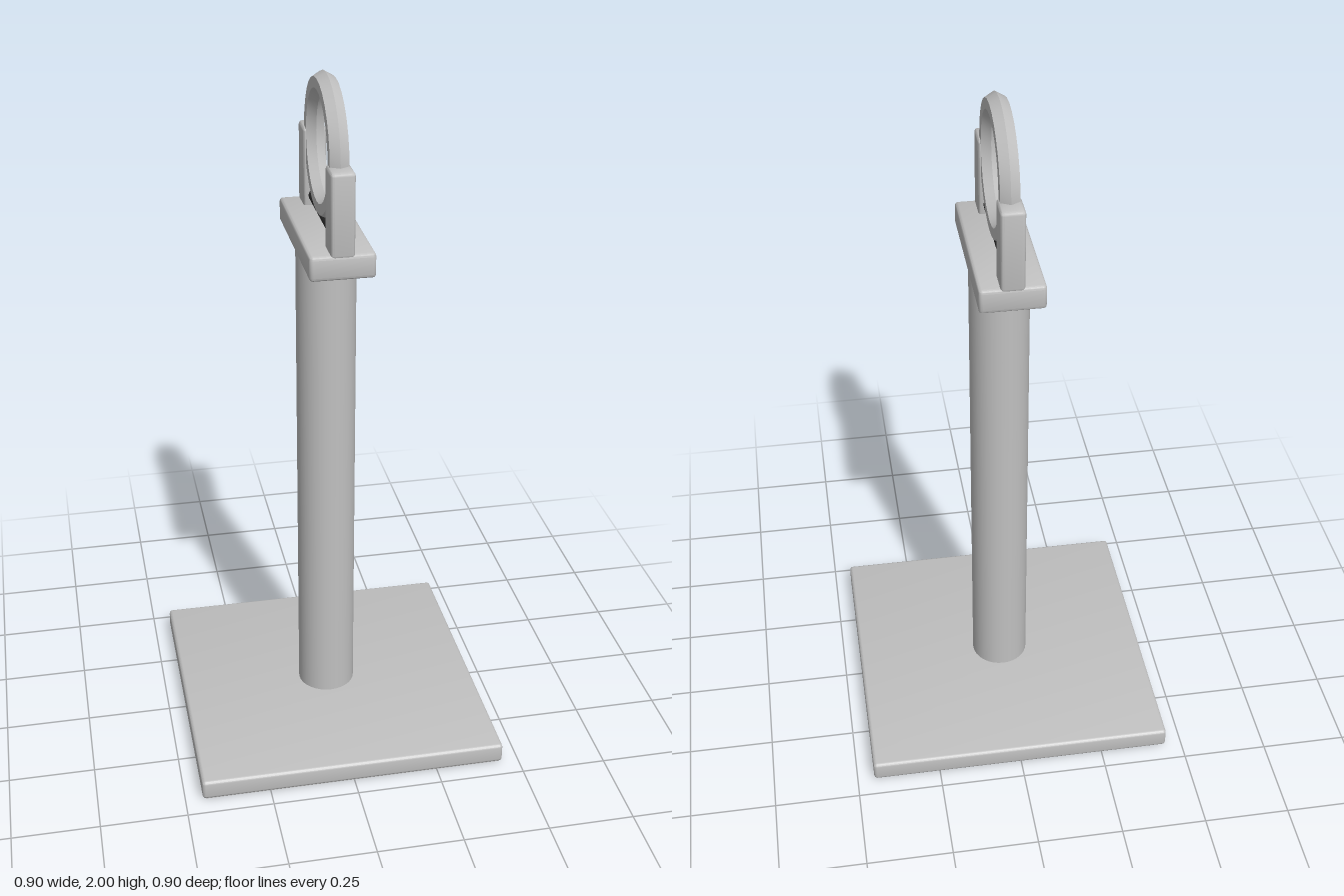
import * as THREE from 'three';
import { toCreasedNormals } from 'three/addons/utils/BufferGeometryUtils.js';
import { RoundedBoxGeometry } from 'three/addons/geometries/RoundedBoxGeometry.js';

export function createModel() {
  const model = new THREE.Group();
  model.name = 'ringStand';

  const grey = new THREE.MeshStandardMaterial({ color: 0xc0c0c0 });
  grey.name = 'light grey';
  const dark = new THREE.MeshStandardMaterial({ color: 0x303030 });
  dark.name = 'dark grey';

  const add = (name, geometry, material, x, y, z) => {
    const mesh = new THREE.Mesh(geometry, material);
    mesh.name = name;
    mesh.position.set(x, y, z);
    model.add(mesh);
    return mesh;
  };

  // Box with small bevelled edges, placed by its bottom height
  const bevelBox = (name, w, h, d, bottom, z = 0) =>
    add(name, toCreasedNormals(new RoundedBoxGeometry(w, h, d, 2, 0.01), 0.6),
      grey, 0, bottom + h / 2, z);

  // Floor plate and column
  bevelBox('base', 0.9, 0.06, 0.9, 0.005);
  add('baseFoot', new THREE.BoxGeometry(0.88, 0.01, 0.88), grey, 0, 0.005, 0);
  add('column', new THREE.CylinderGeometry(0.085, 0.085, 1.47, 32), grey, 0, 0.785, 0);

  // Cradle: cross plate with two uprights
  bevelBox('crossPlate', 0.18, 0.07, 0.48, 1.508);
  for (const side of [1, -1]) {
    bevelBox(side > 0 ? 'frontUpright' : 'backUpright', 0.066, 0.235, 0.085, 1.567, side * 0.1975);
  }

  // Dark rod between the uprights
  const rod = add('rod', new THREE.CylinderGeometry(0.02, 0.02, 0.34, 16), dark, 0, 1.607, 0);
  rod.rotation.x = Math.PI / 2;

  // Upright ring with a six-sided section
  const ring = add('ring', toCreasedNormals(new THREE.TorusGeometry(0.17, 0.03, 6, 28), 0.6),
    grey, 0, 1.8, 0);
  ring.rotation.y = Math.PI / 2;

  return model;
}
